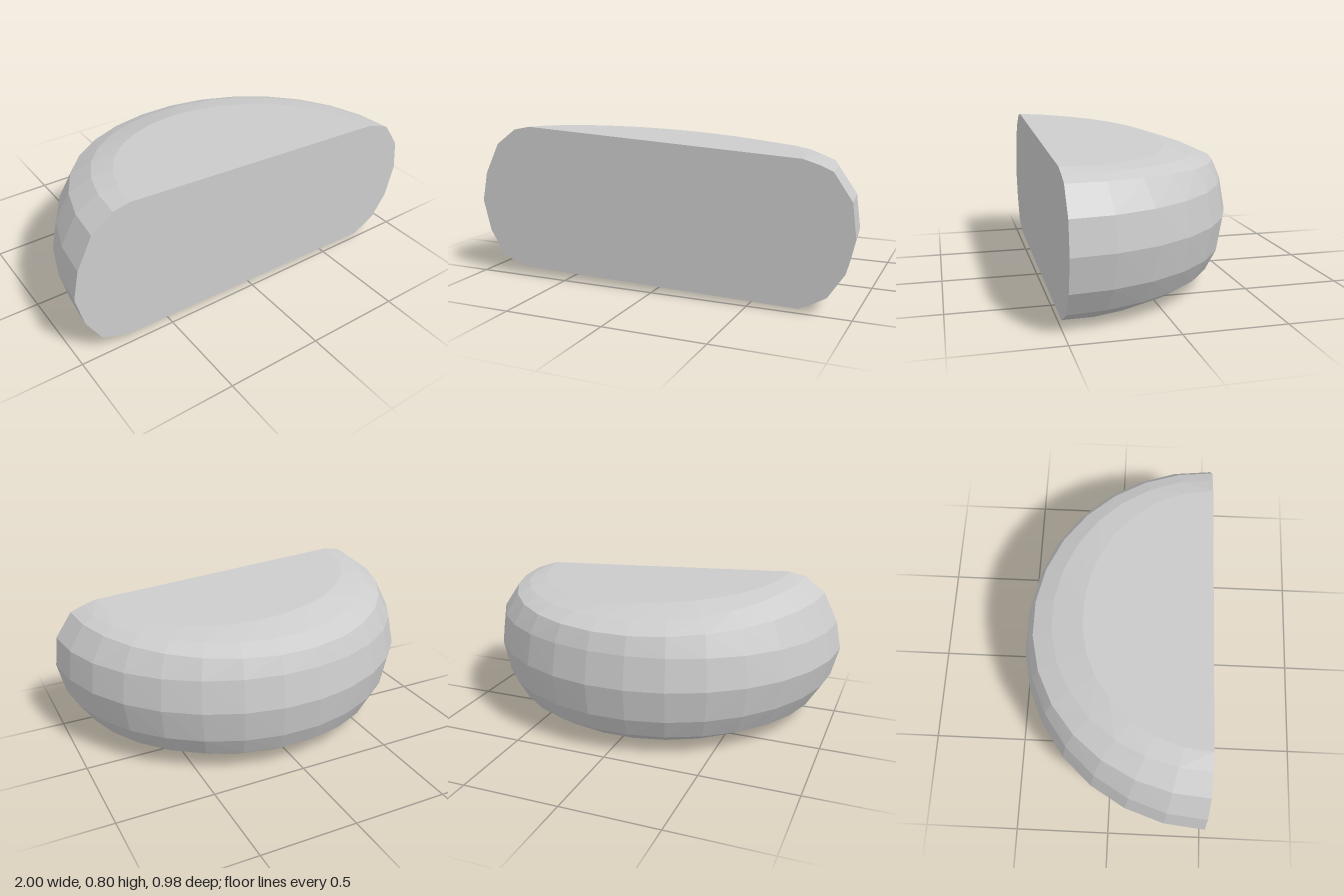
import * as THREE from 'three';
import { ConvexGeometry } from 'three/addons/geometries/ConvexGeometry.js';

// Cross-sections as [radius, height], from the top rim down to the bottom rim
const LEFT = [[0.75, 0.72], [0.83, 0.695], [0.89, 0.67], [0.98, 0.54], [1, 0.38], [0.96, 0.21], [0.88, 0.09], [0.82, 0.055], [0.75, 0.02]];
const BACK = [[0.66, 0.73], [0.82, 0.685], [0.92, 0.64], [0.955, 0.55], [0.985, 0.38], [0.96, 0.21], [0.915, 0.11], [0.82, 0.045], [0.65, 0]];
const RIGHT = [[0.69, 0.8], [0.78, 0.78], [0.89, 0.7], [0.97, 0.54], [1, 0.39], [0.96, 0.23], [0.88, 0.1], [0.82, 0.075], [0.75, 0.05]];

const FRONT_Z = 0.49;
const SEGMENTS = 15;

// Gently tilted flats on the top and the bottom
const topPlane = (x, z) => 0.76 - 0.055 * x - 0.045 * (FRONT_Z - z);
const bottomPlane = (x, z) => Math.max(0, 0.035 - 0.02 * x - 0.045 * (FRONT_Z - z));

export function createModel() {
  const group = new THREE.Group();
  group.name = 'halfPebble';

  // Sweep the blended section half a turn round the back
  const points = [];
  for (let i = 0; i <= SEGMENTS; i++) {
    const angle = (i / SEGMENTS) * Math.PI;
    const c = Math.cos(angle);
    const s = Math.sin(angle);
    const side = c > 0 ? LEFT : RIGHT;
    BACK.forEach(([backR, backY], k) => {
      const r = THREE.MathUtils.lerp(side[k][0], backR, s * s);
      let y = THREE.MathUtils.lerp(side[k][1], backY, s * s);
      const x = r * c;
      const z = FRONT_Z - r * s;
      if (k === 0) y = topPlane(x, z);
      if (k === BACK.length - 1) y = bottomPlane(x, z);
      points.push(new THREE.Vector3(x, y, z));
    });
  }

  // The faceted skin, closed by the flat cut face at the front
  const stone = new THREE.Mesh(
    new ConvexGeometry(points),
    new THREE.MeshStandardMaterial({ color: 0xcccccc, flatShading: true })
  );
  stone.name = 'stone';
  group.add(stone);
  return group;
}
